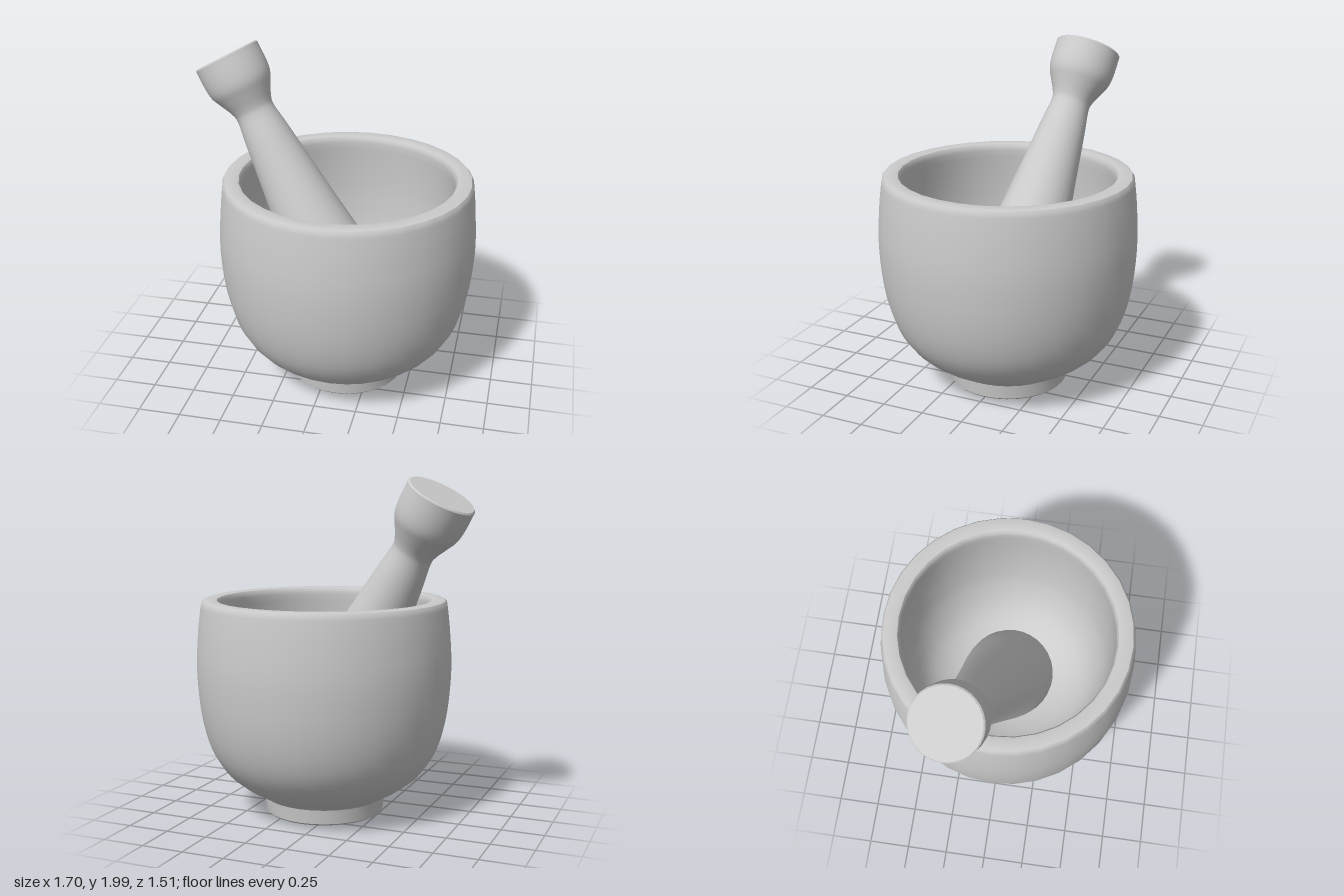
import * as THREE from 'three';
import { toCreasedNormals } from 'three/addons/utils/BufferGeometryUtils.js';

const material = new THREE.MeshStandardMaterial({ color: 0xcccccc });

const v2 = (list) => list.map(([r, y]) => new THREE.Vector2(r, y));
const smooth = (list, n) => new THREE.SplineCurve(v2(list)).getPoints(n);

function turned(name, profile, segments) {
  const geometry = toCreasedNormals(new THREE.LatheGeometry(profile, segments), 0.65);
  const mesh = new THREE.Mesh(geometry, material);
  mesh.name = name;
  return mesh;
}

export function createModel() {
  const model = new THREE.Group();
  model.name = 'mortarAndPestle';

  // Mortar: foot, rounded outer wall, bevelled rim, hollow inside
  const foot = v2([[0, 0.005], [0.345, 0.005], [0.355, 0.015], [0.365, 0.1]]);
  const outer = smooth([[0.37, 0.105], [0.51, 0.19], [0.61, 0.285], [0.685, 0.42],
    [0.735, 0.62], [0.757, 0.88], [0.747, 1.1], [0.73, 1.25]], 24);
  const rim = v2([[0.726, 1.272], [0.716, 1.286], [0.7, 1.29], [0.65, 1.29], [0.634, 1.286], [0.625, 1.272]]);
  const inner = smooth([[0.622, 1.25], [0.635, 1.05], [0.635, 0.85], [0.61, 0.62],
    [0.53, 0.41], [0.4, 0.28], [0.22, 0.205], [0, 0.18]], 24);
  const mortar = turned('mortar', [...foot, ...outer, ...rim, ...inner], 32);
  mortar.position.x = 0.095;
  model.add(mortar);

  // Pestle: round grinding end, tapering shaft, narrow neck, flat-topped grip
  const top = new THREE.Vector3(-0.68, 1.9, -0.2);
  const grind = new THREE.Vector3(0.125, 0.47, 0.005);
  const length = top.distanceTo(grind);
  const end = [];
  for (let i = 0; i <= 10; i++) {
    const a = (i / 10) * 1.42;
    end.push(new THREE.Vector2(0.28 * Math.sin(a), -0.27 * Math.cos(a)));
  }
  const body = smooth([[0.281, 0.02], [0.265, 0.2], [0.215, 0.55], [0.17, 0.89], [0.138, 1.14],
    [0.119, 1.27], [0.127, 1.325], [0.162, 1.4], [0.19, 1.46], [0.2, 1.53],
    [0.2, length - 0.02]], 40);
  const cap = v2([[0.2, length - 0.008], [0.192, length], [0, length]]);
  const pestle = turned('pestle', [...end, ...body, ...cap], 32);
  pestle.position.copy(grind);
  pestle.quaternion.setFromUnitVectors(new THREE.Vector3(0, 1, 0), top.clone().sub(grind).normalize());
  model.add(pestle);

  return model;
}
